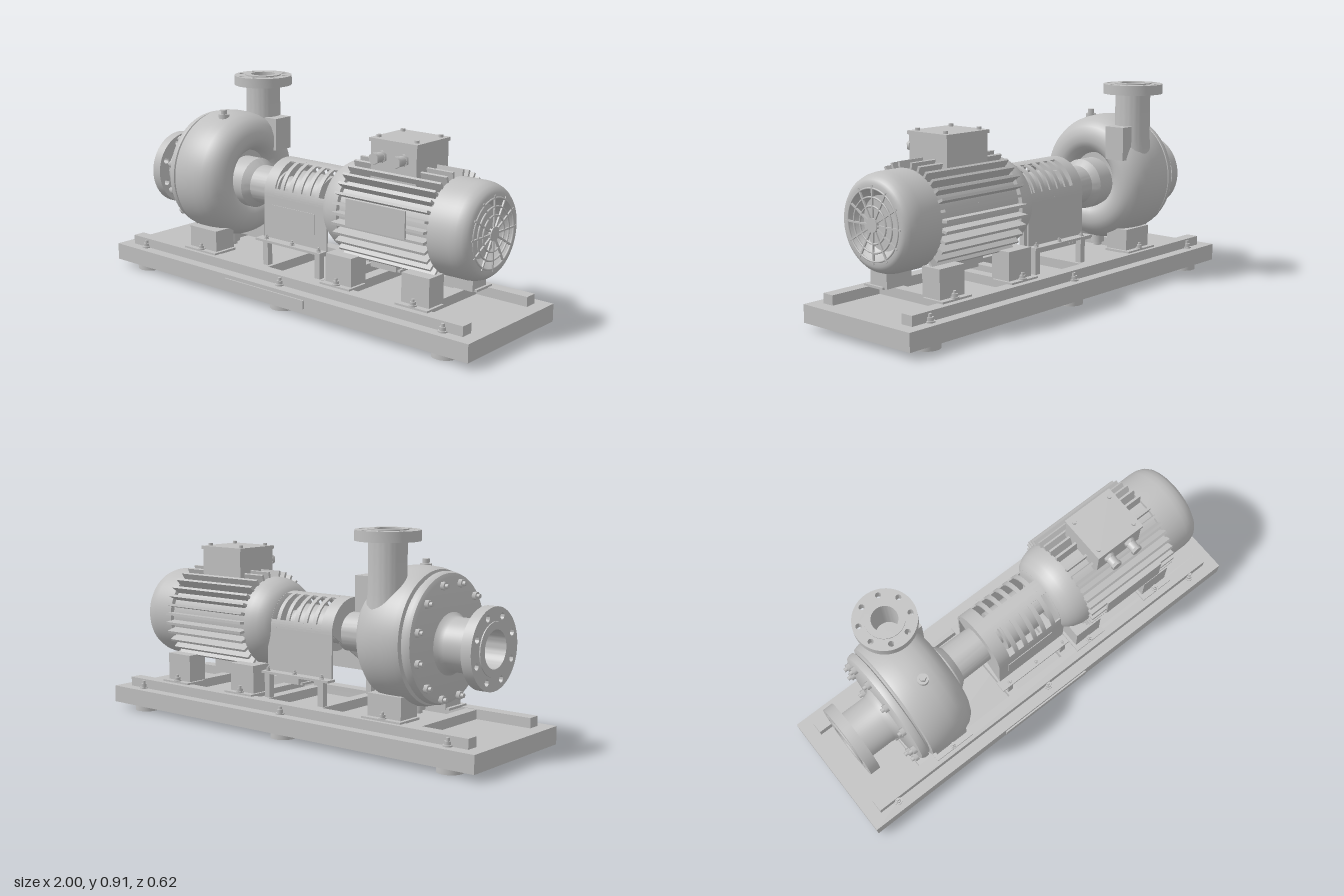
import * as THREE from 'three';
import { toCreasedNormals } from 'three/addons/utils/BufferGeometryUtils.js';

const AXIS = 0.445; // shaft height
const rad = THREE.MathUtils.degToRad;

export function createModel() {
  const model = new THREE.Group();
  model.name = 'motorPumpSet';
  const grey = new THREE.MeshStandardMaterial({ color: 0xc0c0c0 });
  grey.name = 'machineGrey';

  const add = (name, geo, x = 0, y = 0, z = 0) => {
    const m = new THREE.Mesh(geo, grey);
    m.name = name;
    m.position.set(x, y, z);
    model.add(m);
    return m;
  };
  // Box given by its limits on each axis
  const box = (name, x0, x1, y0, y1, z0, z1) =>
    add(name, new THREE.BoxGeometry(x1 - x0, y1 - y0, z1 - z0), (x0 + x1) / 2, (y0 + y1) / 2, (z0 + z1) / 2);
  // Turned profile of [radius, height] points
  const turned = (pts, seg = 64) =>
    toCreasedNormals(new THREE.LatheGeometry(pts.map(p => new THREE.Vector2(p[0], p[1])), seg), 0.55);
  const turnedX = (pts, seg) => turned(pts, seg).rotateZ(-Math.PI / 2);
  const cyl = (r, h, seg = 24) => new THREE.CylinderGeometry(r, r, h, seg);
  // Upright stud with washer and hex nut
  const bolt = (name, x, y, z, s = 1) => {
    add(name + 'Washer', cyl(0.02 * s, 0.006 * s), x, y + 0.003 * s, z);
    add(name + 'Nut', cyl(0.015 * s, 0.016 * s, 6), x, y + 0.013 * s, z);
    add(name + 'Stud', cyl(0.008 * s, 0.034 * s, 12), x, y + 0.017 * s, z);
  };
  // Drilled ring, extruded along z
  const flange = (r, bore, circle, hole, thick) => {
    const s = new THREE.Shape().absarc(0, 0, r, 0, Math.PI * 2);
    s.holes.push(new THREE.Path().absarc(0, 0, bore, 0, Math.PI * 2, true));
    for (let i = 0; i < 8; i++) {
      const a = (i + 0.5) * Math.PI / 4;
      s.holes.push(new THREE.Path().absarc(circle * Math.cos(a), circle * Math.sin(a), hole, 0, Math.PI * 2, true));
    }
    return toCreasedNormals(new THREE.ExtrudeGeometry(s, { depth: thick, bevelEnabled: false, curveSegments: 32 }), 0.55);
  };

  // Base frame: slab, pads, rails and cross bars
  box('baseSlab', -1, 1, 0.027, 0.103, -0.303, 0.303);
  box('basePlate', -0.28, 0.18, 0.05, 0.087, 0.302, 0.31);
  for (const s of [-1, 1]) {
    box('rail', -0.94, 0.94, 0.103, 0.145, s * 0.225 - 0.028, s * 0.225 + 0.028);
    for (const x of [-0.85, 0, 0.85]) {
      add('basePad', cyl(0.055, 0.03, 40), x, 0.015, s * 0.236);
      bolt('railBolt', x, 0.103, s * 0.256);
    }
  }
  for (const x of [-0.66, -0.15, 0.15, 0.28, 0.67]) box('crossBar', x - 0.025, x + 0.025, 0.103, 0.143, -0.2, 0.2);

  // Pump casing
  add('pumpCasing', turnedX([
    [0, -0.688], [0.245, -0.688], [0.262, -0.68], [0.268, -0.665], [0.268, -0.65], [0.258, -0.645], [0.258, -0.638],
    [0.274, -0.634], [0.281, -0.61], [0.285, -0.56], [0.284, -0.51], [0.277, -0.465], [0.262, -0.43],
    [0.238, -0.403], [0.205, -0.388], [0.17, -0.387], [0.145, -0.397], [0.125, -0.418], [0.115, -0.45], [0, -0.45]], 96),
    0, 0.467, -0.014);
  for (let i = 0; i < 12; i++) {
    const a = (i + 0.5) * Math.PI / 6, y = 0.457 + 0.235 * Math.cos(a), z = -0.01 + 0.235 * Math.sin(a);
    add('coverNut', cyl(0.018, 0.018, 6).rotateZ(Math.PI / 2), -0.696, y, z);
    add('coverStud', cyl(0.009, 0.036, 12).rotateZ(Math.PI / 2), -0.7, y, z);
  }
  add('ventBoss', cyl(0.024, 0.04), -0.513, 0.73, 0.065);
  add('ventPlug', cyl(0.015, 0.03, 6), -0.513, 0.755, 0.065);
  add('drainBoss', cyl(0.031, 0.05), -0.513, 0.177, 0.02);
  add('drainPlug', cyl(0.02, 0.02, 6), -0.513, 0.146, 0.02);
  box('casingLug', -0.46, -0.375, 0.57, 0.717, -0.225, -0.128);

  // Suction nozzle
  add('suctionPipe', turnedX([[0, -0.72], [0.078, -0.72], [0.078, -0.893], [0.11, -0.893], [0.11, -0.72],
    [0.116, -0.7], [0.13, -0.686]]), 0, AXIS);
  add('suctionFlange', flange(0.168, 0.1, 0.136, 0.014, 0.046).rotateY(Math.PI / 2), -0.888, AXIS);

  // Discharge nozzle
  add('dischargePipe', turned([[0.092, 0.5], [0.084, 0.6], [0.078, 0.66], [0.078, 0.89], [0.083, 0.89], [0.083, 0.907],
    [0.055, 0.907], [0.055, 0.72], [0, 0.72]]), -0.503, 0, -0.181);
  add('dischargeFlange', flange(0.132, 0.07, 0.106, 0.012, 0.043).rotateX(-Math.PI / 2), -0.503, 0.859, -0.181);

  // Pump feet
  for (const s of [-1, 1]) {
    box('pumpFoot', -0.595, -0.43, 0.145, 0.247, s * 0.155 - 0.055, s * 0.155 + 0.055);
    box('pumpFootPlate', -0.61, -0.415, 0.143, 0.153, s * 0.17 - 0.065, s * 0.17 + 0.065);
    bolt('pumpFootBolt', -0.513, 0.153, s * 0.222, 0.8);
  }

  // Bearing housing and shaft coupling
  add('bearingHousing', turnedX([[0, -0.46], [0.112, -0.46], [0.112, -0.365], [0.1, -0.35], [0.086, -0.335],
    [0.084, -0.2], [0.084, -0.17], [0, -0.17]]), 0, AXIS);
  add('coupling', turnedX([[0, -0.2], [0.06, -0.2], [0.06, -0.1], [0.095, -0.1], [0.095, 0.08], [0.06, 0.08],
    [0.06, 0.2], [0, 0.2]]), 0, AXIS);

  // Coupling guard: arched cover with two rows of slots
  const band = (a0, a1, x0, x1) => {
    const s = new THREE.Shape().absarc(0, 0, 0.146, rad(a0), rad(a1), false);
    s.absarc(0, 0, 0.138, rad(a1), rad(a0), true);
    const g = new THREE.ExtrudeGeometry(s, { depth: x1 - x0, bevelEnabled: false, curveSegments: 24 });
    add('guardArch', toCreasedNormals(g, 0.55).rotateY(Math.PI / 2), x0, AXIS);
  };
  let ribStart = -0.19;
  for (let i = 0; i < 6; i++) {
    const x = -0.115 + i * 0.05;
    band(0, 180, ribStart, x - 0.015);
    for (const [a, b] of [[0, 15], [75, 105], [165, 180]]) band(a, b, x - 0.015, x + 0.015);
    ribStart = x + 0.015;
  }
  band(0, 180, ribStart, 0.168);
  for (const s of [-1, 1]) {
    box('guardSide', -0.19, 0.168, 0.252, AXIS, s * 0.142 - 0.004, s * 0.142 + 0.004);
    box('guardFlange', -0.205, 0.168, 0.25, 0.26, s * 0.166 - 0.024, s * 0.166 + 0.024);
    for (const x of [-0.155, 0.145]) box('guardLeg', x - 0.014, x + 0.014, 0.11, 0.252, s * 0.165 - 0.014, s * 0.165 + 0.014);
    for (const x of [-0.155, -0.005, 0.145]) bolt('guardBolt', x, 0.26, s * 0.171, 0.55);
  }
  box('guardPlate', -0.14, 0.1, 0.32, 0.41, 0.145, 0.149);
  const end = new THREE.Shape().moveTo(0.14, -0.19).absarc(0, 0, 0.14, 0, Math.PI, false).lineTo(-0.14, -0.19);
  add('guardEnd', new THREE.ExtrudeGeometry(end, { depth: 0.006, bevelEnabled: false, curveSegments: 24 }).rotateY(Math.PI / 2), -0.188, AXIS);

  // Motor: drive end shield, finned stator and fan cowl
  add('driveEndShield', turnedX([[0, 0.143], [0.12, 0.143], [0.145, 0.15], [0.17, 0.17], [0.188, 0.2], [0.198, 0.235],
    [0.2, 0.265], [0, 0.265]]), 0, AXIS);
  add('motorBody', turnedX([[0, 0.255], [0.18, 0.255], [0.18, 0.735], [0, 0.735]]), 0, AXIS);
  for (let a = 9; a < 142; a += 11) {
    for (const s of [-1, 1]) {
      const fin = add('coolingFin', new THREE.BoxGeometry(0.465, 0.06, 0.011).translate(0, 0.196, 0), 0.493, AXIS);
      fin.rotation.x = s * rad(a);
    }
  }
  add('fanCowl', turnedX([[0, 0.722], [0.2, 0.722], [0.2, 0.825], [0.197, 0.85], [0.188, 0.875], [0.175, 0.89],
    [0.162, 0.897], [0.145, 0.897], [0.14, 0.89], [0.125, 0.86], [0.11, 0.845], [0, 0.845]]), 0, AXIS);

  // Fan grille: rings, spokes and hub
  for (const r of [0.142, 0.108, 0.073]) {
    add('grilleRing', new THREE.TorusGeometry(r, 0.004, 8, 64).rotateY(Math.PI / 2), 0.897, AXIS);
  }
  for (let i = 0; i < 12; i++) {
    const spoke = add('grilleSpoke', new THREE.BoxGeometry(0.007, 0.13, 0.007).translate(0, 0.09, 0), 0.897, AXIS);
    spoke.rotation.x = i * Math.PI / 6;
  }
  add('grilleHub', cyl(0.029, 0.012, 32).rotateZ(Math.PI / 2), 0.898, AXIS);
  box('motorPlate', 0.34, 0.64, 0.42, 0.535, 0.222, 0.23);

  // Motor feet
  for (const s of [-1, 1]) {
    for (const x of [0.277, 0.672]) {
      box('motorFoot', x - 0.068, x + 0.068, 0.145, 0.275, s * 0.15 - 0.048, s * 0.15 + 0.048);
      box('motorFootPlate', x - 0.08, x + 0.08, 0.143, 0.153, s * 0.17 - 0.055, s * 0.17 + 0.055);
      bolt('motorFootBolt', x, 0.153, s * 0.211, 0.85);
    }
  }

  // Terminal box with lid, screws and cable glands
  box('terminalBox', 0.37, 0.6, 0.6, 0.756, -0.105, 0.107);
  box('terminalLid', 0.364, 0.606, 0.756, 0.771, -0.11, 0.112);
  for (const x of [0.39, 0.58]) {
    for (const z of [-0.078, 0.08]) add('lidScrew', cyl(0.01, 0.012, 6), x, 0.776, z);
  }
  for (const x of [0.428, 0.538]) {
    add('glandBody', cyl(0.021, 0.06).rotateX(Math.PI / 2), x, 0.7, 0.13);
    add('glandCollar', cyl(0.026, 0.014, 6).rotateX(Math.PI / 2), x, 0.7, 0.113);
    add('glandNut', cyl(0.025, 0.014, 6).rotateX(Math.PI / 2), x, 0.7, 0.158);
  }
  return model;
}
